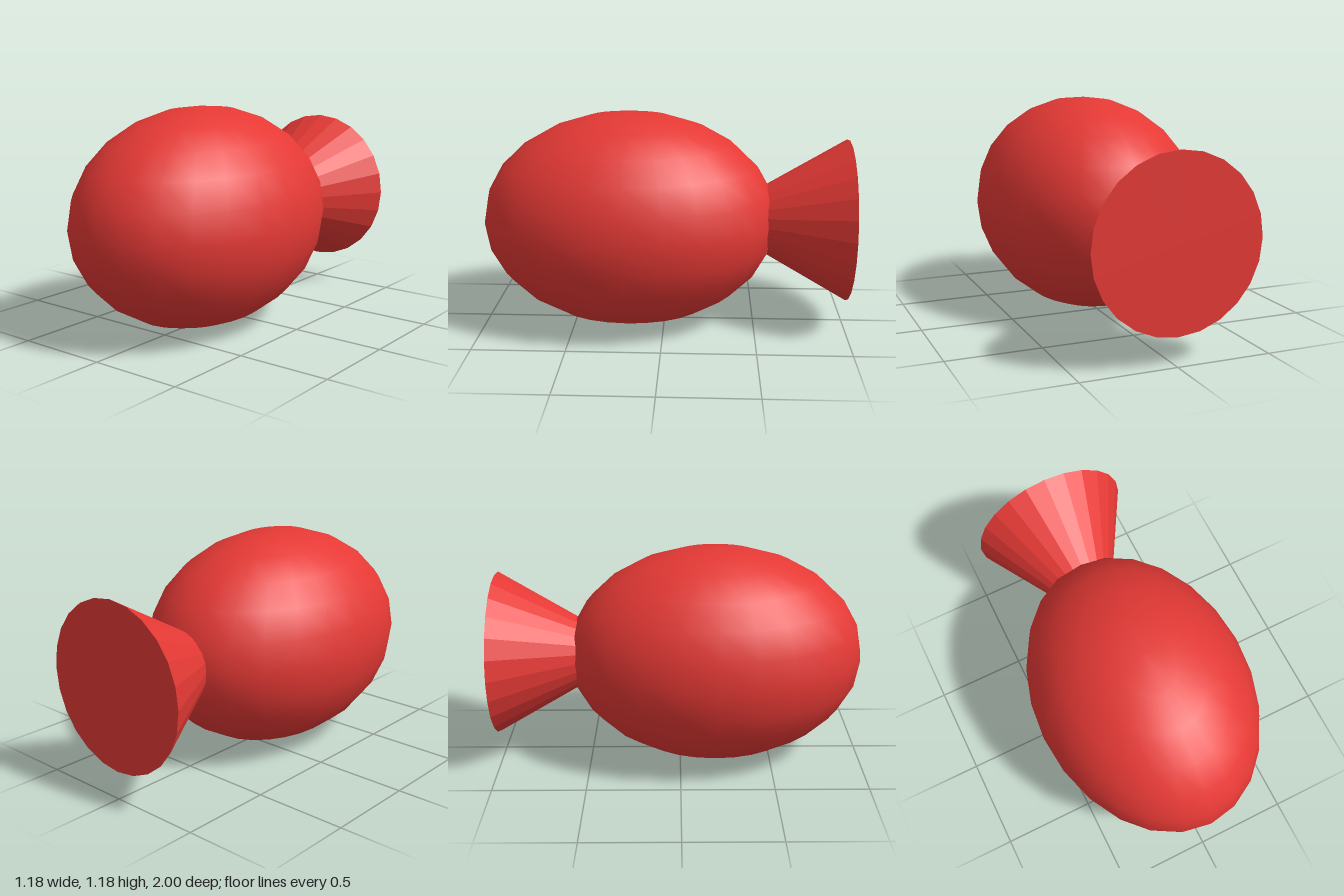
import * as THREE from 'three';

export function createModel() {
  const model = new THREE.Group();
  const red = new THREE.MeshStandardMaterial({ color: 0xe53935 });
  red.name = 'red';
  const midY = 0.595;

  // Egg-shaped body, long along z, smooth shaded
  const bodyShape = new THREE.SphereGeometry(1, 24, 12);
  bodyShape.scale(0.592, 0.592, 0.808);
  const body = new THREE.Mesh(bodyShape, red);
  body.name = 'body';
  body.position.set(0, midY, 0.192);
  model.add(body);

  // Faceted tail cone: tip buried in the body, flat base at the back
  const tailLength = 0.78;
  const tailShape = new THREE.ConeGeometry(0.443, tailLength, 24).toNonIndexed();
  tailShape.computeVertexNormals();
  tailShape.rotateX(Math.PI / 2);
  const tail = new THREE.Mesh(tailShape, red);
  tail.name = 'tail';
  tail.position.set(0, midY, -1 + tailLength / 2);
  model.add(tail);

  return model;
}
